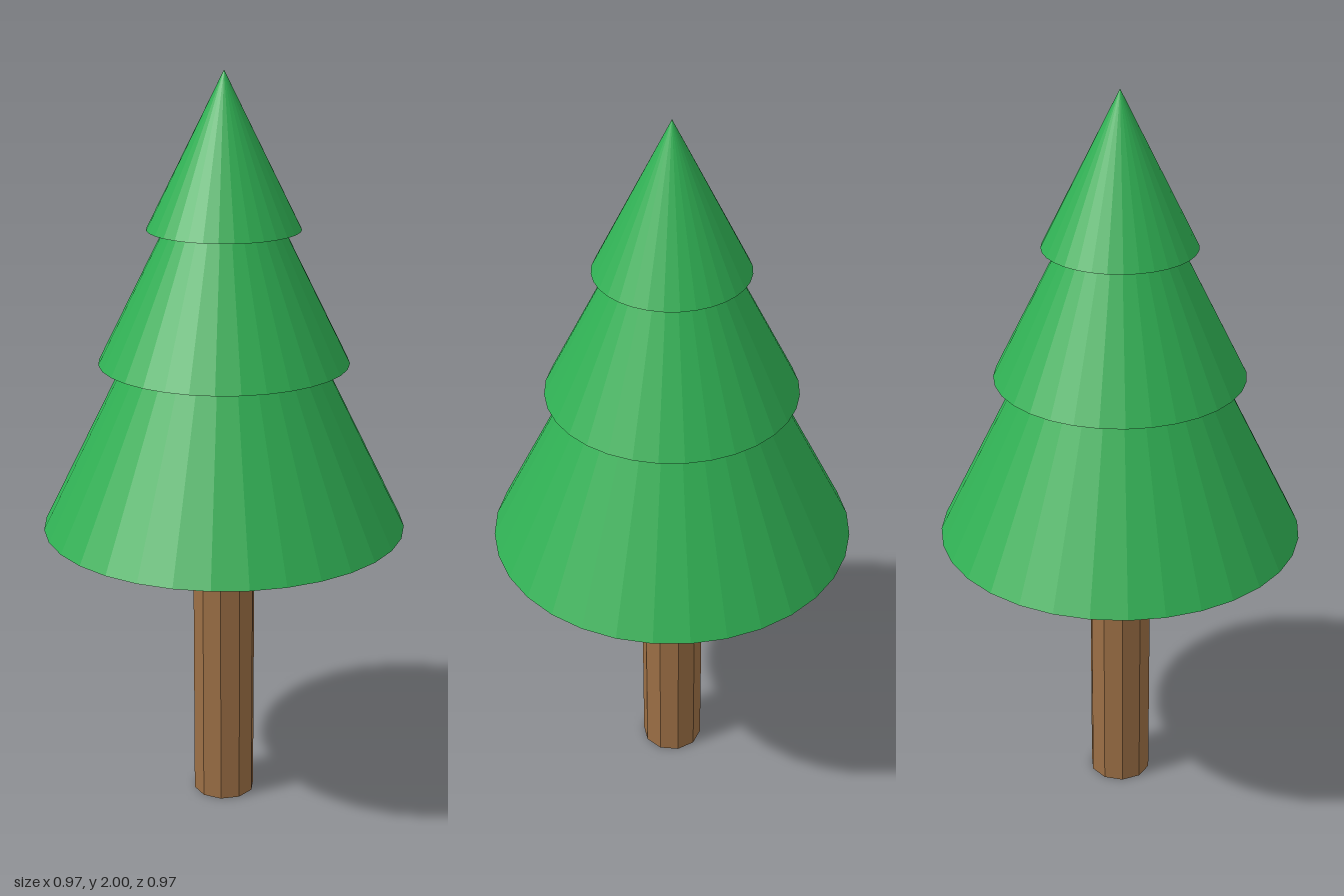
import * as THREE from 'three';

export function createModel() {
  const tree = new THREE.Group();
  tree.name = 'pineTree';

  const leafGreen = new THREE.MeshStandardMaterial({ color: 0x30b054, flatShading: true });
  leafGreen.name = 'leafGreen';
  const barkBrown = new THREE.MeshStandardMaterial({ color: 0x9c6f45, flatShading: true, side: THREE.DoubleSide });
  barkBrown.name = 'barkBrown';

  // Ten-sided trunk, open at the ends
  const trunk = new THREE.Mesh(new THREE.CylinderGeometry(0.085, 0.085, 0.8, 10, 1, true), barkBrown);
  trunk.name = 'trunk';
  trunk.position.y = 0.4;
  tree.add(trunk);

  // Three overlapping tiers of foliage: base height, base radius, tip height
  const tiers = [
    ['lowerFoliage', 0.8, 0.485, 1.78],
    ['middleFoliage', 1.25, 0.33, 1.91],
    ['upperFoliage', 1.6, 0.2, 2.0],
  ];
  for (const [name, base, radius, tip] of tiers) {
    const cone = new THREE.Mesh(new THREE.ConeGeometry(radius, tip - base, 32), leafGreen);
    cone.name = name;
    cone.position.y = (base + tip) / 2;
    tree.add(cone);
  }

  return tree;
}
